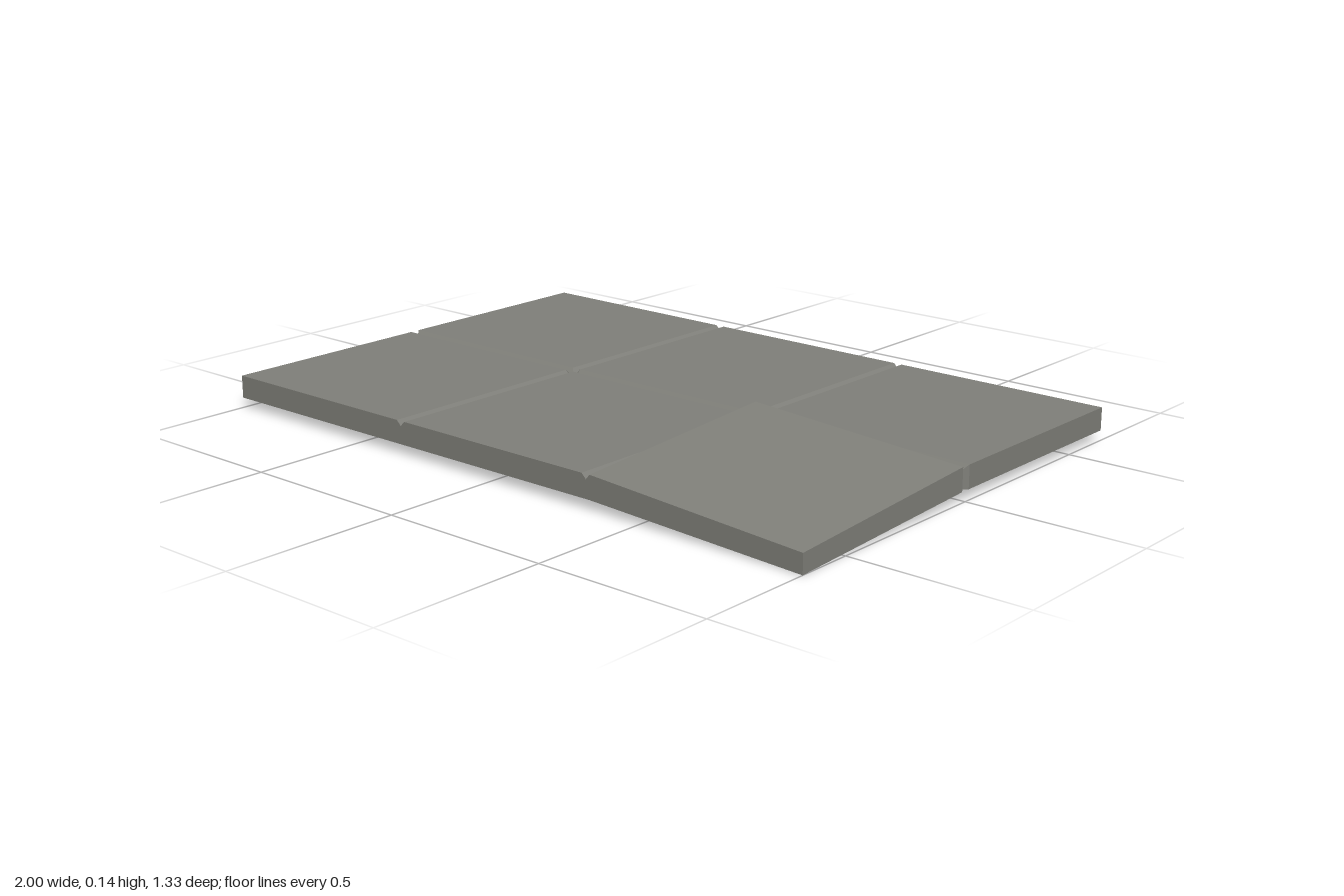
import * as THREE from 'three';

// Grid lines: slab edges, and the two shoulders and valley of each groove
const XS = [-1, -0.348, -0.334, -0.32, 0.32, 0.334, 0.346, 1];
const ZS = [-0.663, -0.014, 0, 0.015, 0.663];
const LX = XS.length - 1, LZ = ZS.length - 1;

// Top surface point; the front left slab is lifted at its inner corner and tilted
function top(i, j) {
  const z = ZS[j];
  let x = XS[i], y = 0.094;
  if (j === 2 && (i === 0 || i === LX)) x *= 0.987; // notch at the groove's ends
  if (j === 2 || i === 2 || i === 5) y = 0.08;
  else if (i >= 6 && j >= 3) y = 0.135 - 0.0405 * ((x - XS[6]) / (1 - XS[6]) + (z - ZS[3]) / (ZS[4] - ZS[3]));
  return [x, y, z];
}

// Lower rim point; the rim dips to the ground at the tilted outer corner
function rim(i, j) {
  const [x, , z] = top(i, j);
  return [x, i === LX && j === LZ ? 0 : 0.029, z];
}

function quadMesh(name, quads, material) {
  const points = quads.flatMap(([a, b, c, d]) => [a, b, c, a, c, d].flat());
  const geometry = new THREE.BufferGeometry();
  geometry.setAttribute('position', new THREE.Float32BufferAttribute(points, 3));
  geometry.computeVertexNormals();
  const mesh = new THREE.Mesh(geometry, material);
  mesh.name = name;
  return mesh;
}

export function createModel() {
  const group = new THREE.Group();
  group.name = 'pavingSlabs';
  const stone = new THREE.MeshStandardMaterial({ color: 0x80807a, side: THREE.DoubleSide });
  stone.name = 'grey stone';

  // Slab tops, with the V grooves between them
  const grooves = [];
  for (let i = 0; i < LX; i++) {
    for (let j = 0; j < LZ; j++) {
      const quad = [top(i, j), top(i, j + 1), top(i + 1, j + 1), top(i + 1, j)];
      if (i % 3 === 0 && j % 3 === 0) {
        const name = (j ? 'front' : 'back') + ['Right', 'Middle', 'Left'][i / 3] + 'Slab';
        group.add(quadMesh(name, [quad], stone));
      } else grooves.push(quad);
    }
  }
  group.add(quadMesh('grooves', grooves, stone));

  // Outer walls around an open underside
  const loop = [];
  for (let i = 0; i < LX; i++) loop.push([i, LZ]);
  for (let j = LZ; j > 0; j--) loop.push([LX, j]);
  for (let i = LX; i > 0; i--) loop.push([i, 0]);
  for (let j = 0; j < LZ; j++) loop.push([0, j]);
  const walls = loop.map((a, k) => {
    const b = loop[(k + 1) % loop.length];
    return [rim(...a), rim(...b), top(...b), top(...a)];
  });
  group.add(quadMesh('outerWalls', walls, stone));
  return group;
}
